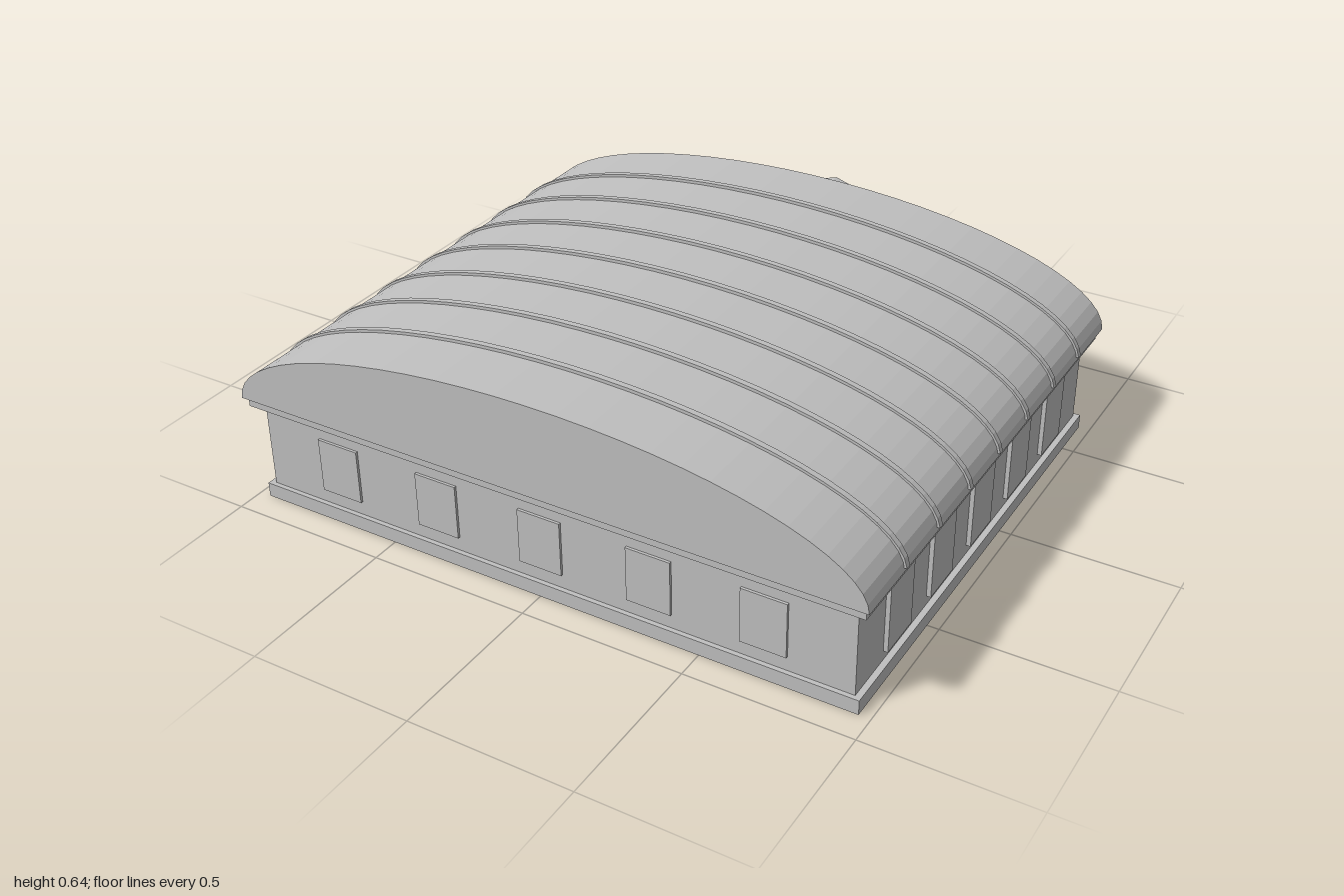
import * as THREE from 'three';

export function createModel() {
  const model = new THREE.Group();
  model.name = 'hall';
  const stone = new THREE.MeshStandardMaterial({ color: 0xc0c0c0 });
  stone.name = 'stone grey';

  const add = (name, geometry) => {
    const mesh = new THREE.Mesh(geometry, stone);
    mesh.name = name;
    model.add(mesh);
    return mesh;
  };
  // Box given by its limits on each axis
  const box = (name, x0, x1, y0, y1, z0, z1) =>
    add(name, new THREE.BoxGeometry(x1 - x0, y1 - y0, z1 - z0))
      .position.set((x0 + x1) / 2, (y0 + y1) / 2, (z0 + z1) / 2);
  // Outline in x and y, extruded from z0 to z1
  const slab = (name, points, z0, z1) => {
    const shape = new THREE.Shape(points.map(([x, y]) => new THREE.Vector2(x, y)));
    add(name, new THREE.ExtrudeGeometry(shape, { depth: z1 - z0, bevelEnabled: false }))
      .position.z = z0;
  };
  // Half-ellipse from right to left
  const arc = (rx, ry, base, from = 0) => {
    const points = [];
    for (let i = 0; i <= 32; i++) {
      const a = from + (Math.PI - 2 * from) * i / 32;
      points.push([rx * Math.cos(a), base + ry * Math.sin(a)]);
    }
    return points;
  };

  // Main body
  box('plinth', -0.965, 0.965, 0, 0.045, -0.64, 0.914);
  box('walls', -0.947, 0.947, 0.045, 0.315, -0.627, 0.9);
  box('cornice', -0.98, 0.98, 0.315, 0.345, -0.655, 0.93);

  // Vaulted roof with raised ribs
  slab('roofVault', arc(0.993, 0.283, 0.345), -0.67, 0.943);
  for (let i = 0; i < 7; i++) {
    const z = 0.735 - i * 0.199;
    const outline = [...arc(1, 0.293, 0.345, 0.04), ...arc(0.985, 0.275, 0.345, 0.04).reverse()];
    slab('roofRib', outline, z - 0.009, z + 0.009);
  }

  // Windows on the front and the two sides
  for (let i = -2; i <= 2; i++) {
    const x = i * 0.343;
    box('frontWindow', x - 0.068, x + 0.068, 0.09, 0.26, 0.89, 0.908);
    const z = 0.14 - i * 0.265;
    for (const s of [-1, 1]) {
      const xs = [s * 0.94, s * 0.96].sort((a, b) => a - b);
      box('sideWindow', xs[0], xs[1], 0.075, 0.315, z - 0.071, z + 0.071);
    }
  }

  // Rear doors, each with jambs and a half-round two-tier canopy
  const door = (x, w, r, lowerR) => {
    box('rearDoor', x - w, x + w, 0.045, 0.3, -0.642, -0.62);
    for (const t of [-1, -0.4, 0.4, 1])
      box('doorJamb', x + t * w - 0.012, x + t * w + 0.012, 0.045, 0.3, -0.655, -0.62);
    const tiers = [[r, 0.333, 0.015], [lowerR, 0.304, 0.014]];
    for (const [radius, y, h] of tiers) {
      add('doorCanopy', new THREE.CylinderGeometry(radius, radius, h, 24, 1, false, Math.PI / 2, Math.PI))
        .position.set(x, y, -0.637);
    }
  };
  door(-0.605, 0.095, 0.115, 0.09);
  door(0.605, 0.095, 0.115, 0.09);
  door(0, 0.15, 0.2, 0.152);

  // Portico columns
  for (const x of [-0.34, -0.113, 0.113, 0.34]) {
    add('porticoColumn', new THREE.CylinderGeometry(0.028, 0.028, 0.32, 20))
      .position.set(x, 0.21, -0.76);
  }

  // Entablature and gabled pediment
  box('entablature', -0.41, 0.41, 0.37, 0.406, -0.81, -0.65);
  box('pedimentLedge', -0.44, 0.44, 0.404, 0.418, -0.84, -0.65);
  slab('pediment', [[-0.44, 0.418], [0.44, 0.418], [0, 0.555]], -0.835, -0.65);
  slab('pedimentPanel',
    [[-0.23, 0.428], [0.23, 0.428], [0.23, 0.448], [0, 0.52], [-0.23, 0.448]], -0.85, -0.83);

  // Entrance steps
  box('landing', -0.38, 0.38, 0.008, 0.02, -0.87, -0.74);
  box('upperStep', -0.3, 0.3, 0.008, 0.02, -0.9, -0.86);
  box('lowerStep', -0.3, 0.3, 0, 0.009, -0.944, -0.8);

  return model;
}
